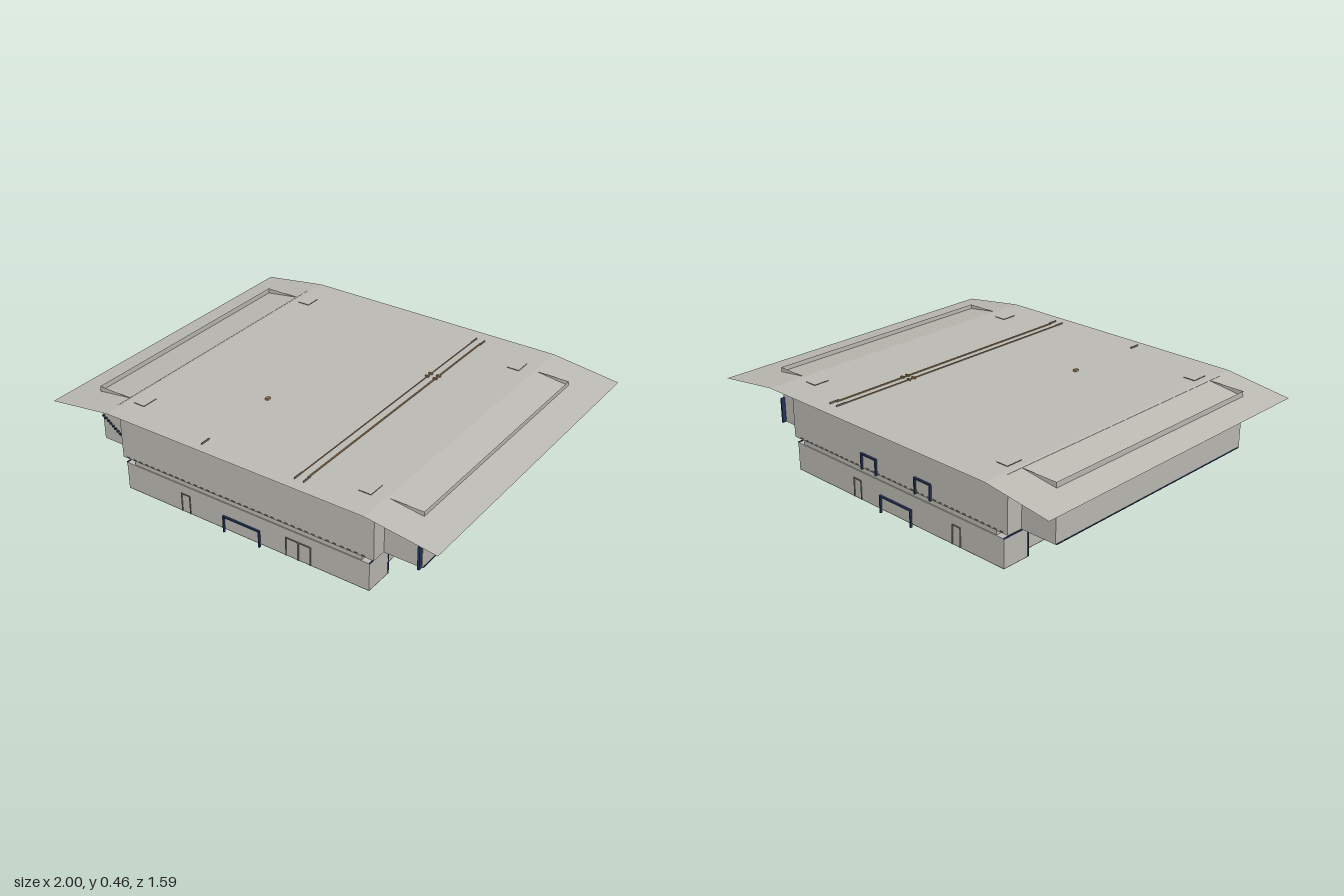
import * as THREE from 'three';
import { mergeGeometries } from 'three/addons/utils/BufferGeometryUtils.js';

const make = (name, color, side = THREE.FrontSide) => {
  const m = new THREE.MeshStandardMaterial({ color, side });
  m.name = name;
  return m;
};

export function createModel() {
  const concrete = make('concrete', 0xbdbcb5, THREE.DoubleSide);
  const brown = make('brown', 0xa2835a, THREE.DoubleSide);
  const navy = make('navy', 0x24365c);
  const darkGrey = make('darkGrey', 0x7c7b76);

  const model = new THREE.Group();
  model.name = 'building';

  const add = (name, geometry, material) => {
    const mesh = new THREE.Mesh(geometry, material);
    mesh.name = name;
    model.add(mesh);
    return mesh;
  };
  // Box between two corners
  const block = (x0, x1, y0, y1, z0, z1) =>
    new THREE.BoxGeometry(x1 - x0, y1 - y0, z1 - z0)
      .translate((x0 + x1) / 2, (y0 + y1) / 2, (z0 + z1) / 2);
  // Four thin upright walls around a rectangle, open above and below
  const walls = (x0, x1, y0, y1, z0, z1) => {
    const w = x1 - x0, h = y1 - y0, d = z1 - z0;
    const cx = (x0 + x1) / 2, cy = (y0 + y1) / 2, cz = (z0 + z1) / 2;
    return mergeGeometries([
      new THREE.PlaneGeometry(w, h).translate(cx, cy, z1),
      new THREE.PlaneGeometry(w, h).rotateY(Math.PI).translate(cx, cy, z0),
      new THREE.PlaneGeometry(d, h).rotateY(Math.PI / 2).translate(x1, cy, cz),
      new THREE.PlaneGeometry(d, h).rotateY(-Math.PI / 2).translate(x0, cy, cz),
    ]);
  };
  // Downward-facing plate
  const soffit = (x0, x1, y, z0, z1) =>
    new THREE.PlaneGeometry(x1 - x0, z1 - z0).rotateX(Math.PI / 2)
      .translate((x0 + x1) / 2, y, (z0 + z1) / 2);
  // Thin rectangular outline on a front or rear wall
  const frame = (x0, x1, y0, y1, z, t = 0.007) => mergeGeometries([
    block(x0, x0 + t, y0, y1, z - 0.005, z + 0.005),
    block(x1 - t, x1, y0, y1, z - 0.005, z + 0.005),
    block(x0, x1, y1 - t, y1, z - 0.005, z + 0.005),
  ]);

  // Roof sheet: flat middle with both sides folded down
  const profile = [[-1, 0.4], [-0.67, 0.445], [0.67, 0.445], [1, 0.4]];
  const roofParts = [];
  for (let i = 0; i < 3; i++) {
    const [xa, ya] = profile[i], [xb, yb] = profile[i + 1];
    roofParts.push(new THREE.PlaneGeometry(Math.hypot(xb - xa, yb - ya), 1.594)
      .rotateX(-Math.PI / 2)
      .rotateZ(Math.atan2(yb - ya, xb - xa))
      .translate((xa + xb) / 2, (ya + yb) / 2, 0));
  }
  add('roof', mergeGeometries(roofParts), concrete);

  // Upper storey: main block and the wider wings, open under the roof
  add('upperWalls', walls(-0.685, 0.66, 0.175, 0.444, -0.685, 0.71), concrete);
  add('upperSoffit', soffit(-0.685, 0.66, 0.175, -0.685, 0.71), brown);
  for (const [side, x0, x1] of [['right', -0.865, -0.685], ['left', 0.66, 0.84]]) {
    add(side + 'Wing', walls(x0, x1, 0.172, 0.444, -0.605, 0.635), concrete);
    add(side + 'WingSoffit', soffit(x0, x1, 0.172, -0.605, 0.635), brown);
  }

  // Lower storey: recessed core between a front and a rear block
  add('lowerCore', block(-0.62, 0.6, 0.016, 0.175, -0.68, 0.705), concrete);
  add('coreUnderside', soffit(-0.62, 0.6, 0.0145, -0.545, 0.57), brown);
  for (const [end, z0, z1] of [['front', 0.57, 0.71], ['rear', -0.685, -0.545]]) {
    add(end + 'LowerBlock', block(-0.665, 0.64, 0.016, 0.152, z0, z1), concrete);
    add(end + 'Underside', soffit(-0.665, 0.64, 0.0145, z0, z1), brown);
    // Dark corner trims at the ends of the blocks
    const zi = end === 'front' ? z0 : z1;
    for (const x of [-0.665, 0.64]) {
      add(end + 'CornerTrim', mergeGeometries([
        block(x - 0.002, x + 0.002, 0.016, 0.155, zi - 0.003, zi + 0.003),
        block(x - 0.002, x + 0.002, 0.15, 0.156, z0, z1),
      ]), navy);
    }
  }

  // Shallow footings with dark inner edges
  for (const s of [-1, 1]) {
    for (const [z0, z1] of [[0.36, 0.53], [-0.02, 0.19], [-0.5, -0.2]]) {
      const xa = s > 0 ? 0.43 : -0.61, xb = s > 0 ? 0.59 : -0.43;
      add('footing', block(xa, xb, 0.007, 0.0145, z0, z1), brown);
      add('footingEdge', block(s * 0.43 - 0.003, s * 0.43 + 0.003, 0.0065, 0.0145, z0, z1), navy);
    }
  }

  // Entrances and window frames
  add('frontEntranceFrame', frame(-0.115, 0.085, 0, 0.085, 0.714), navy);
  add('rearEntranceFrame', frame(-0.125, 0.075, 0, 0.085, -0.69), navy);
  for (const x of [0.09, -0.25]) {
    add('rearBalconyFrame', frame(x, x + 0.1, 0.172, 0.25, -0.69), navy);
  }
  for (const [x0, x1, z] of [[-0.35, -0.3, 0.709], [0.22, 0.285, 0.709], [0.285, 0.35, 0.709],
    [0.2, 0.25, -0.684], [-0.42, -0.37, -0.684]]) {
    add('doorFrame', frame(x0, x1, 0.016, 0.11, z, 0.004), darkGrey);
  }

  // Dashed joint strip between the storeys
  const dashes = [];
  for (let x = -0.66; x < 0.63; x += 0.035) {
    for (const z of [0.711, -0.686]) dashes.push(block(x, x + 0.018, 0.178, 0.183, z - 0.001, z + 0.001));
  }
  add('jointStrip', mergeGeometries(dashes), darkGrey);

  // Soffit edge lines under the wings
  for (const x of [-0.865, 0.84]) {
    add('wingEdgeLine', block(x - 0.002, x + 0.002, 0.169, 0.174, -0.6, 0.63), navy);
  }

  // Sloping stair rail and upright rail on the wing fronts and rears
  const railDots = [];
  for (let i = 0; i <= 12; i++) {
    const x = -0.86 + i * 0.0135, y = 0.295 - i * 0.0095;
    railDots.push(block(x - 0.005, x + 0.005, y - 0.004, y + 0.004, 0.635, 0.643));
  }
  add('stairRail', mergeGeometries(railDots), navy);
  add('leftFrontRail', block(0.828, 0.838, 0.172, 0.295, 0.635, 0.655), navy);
  add('leftRearRail', block(0.83, 0.838, 0.172, 0.295, -0.625, -0.605), navy);

  // Brackets below the eaves
  for (const x of [-0.58, -0.33, -0.12, 0.105, 0.35, 0.565]) {
    for (const z of [0.718, -0.693]) {
      add('eaveBracket', block(x - 0.006, x + 0.006, 0.415, 0.444, z - 0.012, z + 0.012), brown);
    }
  }
  for (const z of [0.45, 0, -0.4]) {
    add('rightSideBracket', block(-0.895, -0.865, 0.408, 0.414, z - 0.006, z + 0.006), brown);
    add('leftSideBracket', block(0.84, 0.855, 0.408, 0.414, z - 0.006, z + 0.006), brown);
  }

  // Roof joint: two long thin ribs with a small collar
  add('roofRib', block(0.332, 0.338, 0.445, 0.45, -0.69, 0.7), brown);
  add('roofRibSheet', block(0.294, 0.296, 0.445, 0.45, -0.69, 0.7), brown);
  for (const z of [-0.305, -0.275]) {
    for (const x of [0.294, 0.336]) {
      add('ribCollar', block(x - 0.01, x + 0.01, 0.445, 0.453, z - 0.004, z + 0.004), brown);
    }
  }
  add('roofVent', block(-0.183, -0.169, 0.445, 0.455, 0.29, 0.31), brown);
  for (const [x, z] of [[-0.175, 0.73], [0.295, 0.715], [0.34, 0.715], [0.295, -0.7], [0.34, -0.7]]) {
    add('roofCleat', block(x - 0.002, x + 0.002, 0.445, 0.452, z - 0.025, z + 0.025), darkGrey);
  }
  // Low outlines near the four roof corners
  for (const x of [-0.61, 0.58]) {
    for (const z of [-0.6, 0.62]) {
      add('roofCornerRim', walls(x - 0.03, x + 0.03, 0.445, 0.448, z - 0.04, z + 0.04), darkGrey);
    }
  }
  return model;
}
